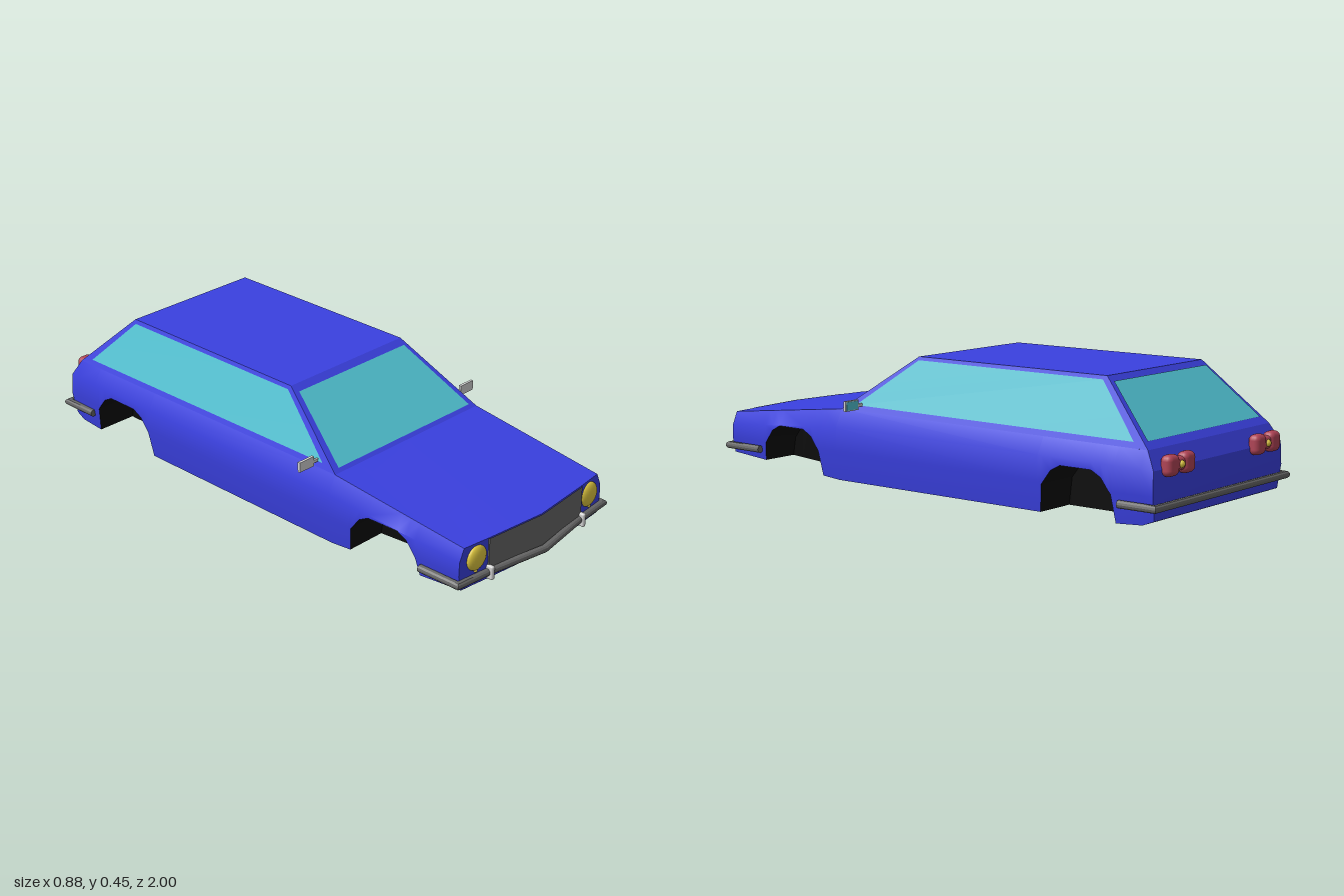
import * as THREE from 'three';
import { toCreasedNormals } from 'three/addons/utils/BufferGeometryUtils.js';
import { RoundedBoxGeometry } from 'three/addons/geometries/RoundedBoxGeometry.js';

const paint = (name, color, side = THREE.FrontSide) => {
  const m = new THREE.MeshStandardMaterial({ color, side });
  m.name = name;
  return m;
};

// Surface through rows of [x, y, z] points; it faces (column direction) x (row direction)
function grid(rows, flip = false) {
  const pos = [];
  for (let i = 0; i < rows.length - 1; i++) {
    for (let j = 0; j < rows[i].length - 1; j++) {
      const a = rows[i][j], b = rows[i][j + 1], c = rows[i + 1][j + 1], d = rows[i + 1][j];
      const tris = flip ? [a, c, b, a, d, c] : [a, b, c, a, c, d];
      tris.forEach((p) => pos.push(...p));
    }
  }
  const g = new THREE.BufferGeometry();
  g.setAttribute('position', new THREE.Float32BufferAttribute(pos, 3));
  g.computeVertexNormals();
  return toCreasedNormals(g, 0.5);
}

const mirrorX = ([x, y, z]) => [-x, y, z];

// Bar with a rounded section swept along [x, z] points with mitred corners
function sweepBar(path, y, r) {
  const rows = path.map(([x, z], i) => {
    const dirs = [[i - 1, i], [i, i + 1]].filter(([a, b]) => a >= 0 && b < path.length)
      .map(([a, b]) => new THREE.Vector2(path[b][0] - path[a][0], path[b][1] - path[a][1]).normalize());
    const d = dirs.reduce((s, v) => s.clone().add(v)).normalize();
    const k = r / d.dot(dirs[0]);
    return Array.from({ length: 13 }, (_, j) => {
      const t = (j / 12) * Math.PI * 2;
      return [x + d.y * k * Math.cos(t), y + r * Math.sin(t), z - d.x * k * Math.cos(t)];
    });
  });
  const cap = ([x, z]) => Array(13).fill([x, y, z]);
  return grid([cap(path[0]), ...rows, cap(path[path.length - 1])]);
}

// Side sections: z, then x and y of sill, lower waist, upper waist and shoulder
const keys = [
  [-0.92, 0.372, 0.012, 0.387, 0.11, 0.386, 0.193, 0.36, 0.25],
  [-0.8, 0.375, 0.005, 0.39, 0.11, 0.39, 0.195, 0.36, 0.251],
  [0.38, 0.375, 0.005, 0.39, 0.11, 0.39, 0.195, 0.36, 0.258],
  [0.93, 0.355, 0.045, 0.367, 0.1, 0.365, 0.15, 0.345, 0.195],
];
const axles = [-0.67, 0.612];
const archShape = [[-0.15, 0], [-0.138, 0.1], [-0.1, 0.15], [-0.062, 0.17],
  [0.062, 0.17], [0.1, 0.15], [0.138, 0.1], [0.15, 0]];
const wellX = 0.22;

function archHeight(z) {
  for (const c of axles) {
    for (let i = 0; i < archShape.length - 1; i++) {
      const [a, ya] = archShape[i], [b, yb] = archShape[i + 1], t = (z - c - a) / (b - a);
      if (t >= -1e-6 && t <= 1 + 1e-6) return ya + (yb - ya) * t;
    }
  }
  return 0;
}

function section(z) {
  const i = Math.max(0, keys.findIndex((k) => k[0] >= z) - 1);
  const t = (z - keys[i][0]) / (keys[i + 1][0] - keys[i][0]);
  const [, sx, sy, lx, ly, hx, hy, tx, ty] = keys[i].map((v, n) => v + (keys[i + 1][n] - v) * t);
  const arch = archHeight(z), y = Math.max(sy, arch);
  const x = sx + (lx - sx) * Math.min(1, (y - sy) / (ly - sy));
  return { sill: sy, points: [[x, y, z], [lx, Math.max(ly, arch), z], [hx, Math.max(hy, arch), z], [tx, ty, z]] };
}

export function createModel() {
  const car = new THREE.Group();
  car.name = 'car';
  const blue = paint('blue body', 0x3a40e0, THREE.DoubleSide);
  const glass = paint('teal glass', 0x4fc0d0, THREE.DoubleSide);
  const black = paint('black underside', 0x0a0a0a, THREE.DoubleSide);
  const grey = paint('grey trim', 0x666666, THREE.DoubleSide);
  const yellow = paint('yellow lamp', 0xe0c840);
  const red = paint('red lamp', 0xb04456);
  const silver = paint('silver', 0xd2d2d2);

  const add = (name, geometry, material, x = 0, y = 0, z = 0) => {
    const m = new THREE.Mesh(geometry, material);
    m.name = name;
    m.position.set(x, y, z);
    car.add(m);
    return m;
  };

  // Sides with wheel arches
  const stations = keys.map((k) => k[0]);
  for (const c of axles) {
    stations.push(c - 0.151, c + 0.151, ...archShape.map((p) => c + p[0]));
  }
  stations.sort((a, b) => a - b);
  const rear = [[0.368, 0.028, -0.962], [0.384, 0.11, -0.967], [0.38, 0.19, -0.965], [0.36, 0.25, -0.93]];
  const sideRows = [rear, ...stations.map((z) => section(z).points)];
  add('leftSide', grid(sideRows), blue);
  add('rightSide', grid(sideRows.map((r) => r.map(mirrorX)), true), blue);

  // Floor, cut away at the wheels
  const floorRows = stations.map((z) => {
    const s = section(z), inside = axles.some((c) => Math.abs(z - c) < 0.1505);
    const w = inside ? wellX : s.points[0][0];
    return [[-w, s.sill, z], [0, s.sill, z], [w, s.sill, z]];
  });
  const noseFloor = [[-0.355, 0.045, 0.931], [0, 0.045, 0.965], [0.355, 0.045, 0.931]];
  add('floor', grid([[mirrorX(rear[0]), [0, 0.028, -0.962], rear[0]], ...floorRows, noseFloor]), black);

  // Wheel wells
  for (const c of axles) {
    const outer = archShape.map(([dz]) => section(c + dz).points[0]);
    const inner = outer.map(([, y, z]) => [wellX, y, z]);
    const foot = outer.map(([, , z]) => [wellX, section(z).sill, z]);
    const rows = [outer, inner, foot];
    add('leftWheelWell', grid(rows, true), black);
    add('rightWheelWell', grid(rows.map((r) => r.map(mirrorX))), black);
  }

  // Nose panel and bonnet, slightly pointed at the centre
  const noseRow = ([x, y, z]) => [[-x, y, z], [-0.24, y, 0.943], [0, y, 0.966], [0.24, y, 0.943], [x, y, z]];
  const nose = section(0.93).points.map(noseRow);
  add('nosePanel', grid(nose), blue);
  const cowl = [-0.36, -0.25, 0, 0.25, 0.36].map((x) => [x, 0.258, 0.38]);
  add('bonnet', grid([nose[3], cowl]), blue);
  add('tailPanel', grid(rear.map((p) => [p, mirrorX(p)])), blue);

  // Cabin: each face is a panel with an inset window
  const frontLow = [0.36, 0.258, 0.38], frontTop = [0.275, 0.458, 0.09];
  const backTop = [0.275, 0.458, -0.71], backLow = rear[3];
  add('roof', grid([[mirrorX(frontTop), frontTop], [mirrorX(backTop), backTop]]), blue);

  function windowPanel(name, bl, br, tr, tl, u, v0, v1) {
    add(name + 'Frame', grid([[bl, br], [tl, tr]]), blue);
    const [a, b, c, d] = [bl, br, tr, tl].map((p) => new THREE.Vector3(...p));
    const n = b.clone().sub(a).cross(d.clone().sub(a)).normalize().multiplyScalar(0.003);
    const at = (s, t) => a.clone().lerp(b, s).lerp(d.clone().lerp(c, s), t).add(n).toArray();
    add(name + 'Glass', grid([[at(u, v0), at(1 - u, v0)], [at(u, v1), at(1 - u, v1)]]), glass);
  }
  windowPanel('windscreen', mirrorX(frontLow), frontLow, frontTop, mirrorX(frontTop), 0.034, 0.045, 0.91);
  windowPanel('rearWindow', backLow, mirrorX(backLow), mirrorX(backTop), backTop, 0.026, 0.1, 0.91);
  windowPanel('leftWindow', frontLow, backLow, backTop, frontTop, 0.03, 0.09, 0.935);
  windowPanel('rightWindow', ...[backLow, frontLow, frontTop, backTop].map(mirrorX), 0.03, 0.09, 0.935);

  // Grille plate
  const grilleRow = (y) => [[-0.24, y, 0.938], [-0.24, y, 0.948], [0, y, 0.971], [0.24, y, 0.948], [0.24, y, 0.938]];
  add('grille', grid([grilleRow(0.075), grilleRow(0.195)]), grey);

  // Bumpers
  const wrap = (half) => [...half, ...half.filter((p) => p[0] > 0).reverse().map(([x, z]) => [-x, z])];
  add('frontBumper', sweepBar(wrap([[0.378, 0.775], [0.375, 0.935], [0.24, 0.947], [0, 0.986]]), 0.073, 0.0135), grey);
  add('rearBumper', sweepBar(wrap([[0.39, -0.84], [0.39, -0.978]]), 0.073, 0.0135), grey);

  // Paired fittings
  for (const s of [1, -1]) {
    const side = s > 0 ? 'left' : 'right';
    add(side + 'Headlight', new THREE.SphereGeometry(0.045, 24, 16), yellow, s * 0.29, 0.142, 0.936).scale.z = 0.4;
    add(side + 'HeadlightScrew', new THREE.SphereGeometry(0.007, 10, 8), yellow, s * 0.295, 0.097, 0.938);
    add(side + 'BumperGuard', new RoundedBoxGeometry(0.016, 0.05, 0.032, 2, 0.006), silver, s * 0.238, 0.073, 0.952);

    // Tail lamp: two lobes joined by a narrow waist, with a small bulb
    for (const dx of [-0.045, 0.045]) {
      add(side + 'TailLampLobe', new RoundedBoxGeometry(0.062, 0.07, 0.046, 3, 0.02), red, s * 0.258 + dx, 0.2, -0.975);
    }
    add(side + 'TailLampWaist', new RoundedBoxGeometry(0.07, 0.045, 0.036, 3, 0.015), red, s * 0.258, 0.2, -0.972);
    add(side + 'TailLampBulb', new THREE.SphereGeometry(0.013, 12, 8), yellow, s * 0.258, 0.2, -0.987);

    // Door mirror
    add(side + 'MirrorStem', new THREE.BoxGeometry(0.04, 0.01, 0.008), silver, s * 0.362, 0.28, 0.29);
    add(side + 'MirrorHousing', new THREE.BoxGeometry(0.066, 0.036, 0.01), silver, s * 0.407, 0.283, 0.29);
    add(side + 'MirrorGlass', new THREE.BoxGeometry(0.058, 0.029, 0.002), glass, s * 0.407, 0.283, 0.2845);
  }
  return car;
}
